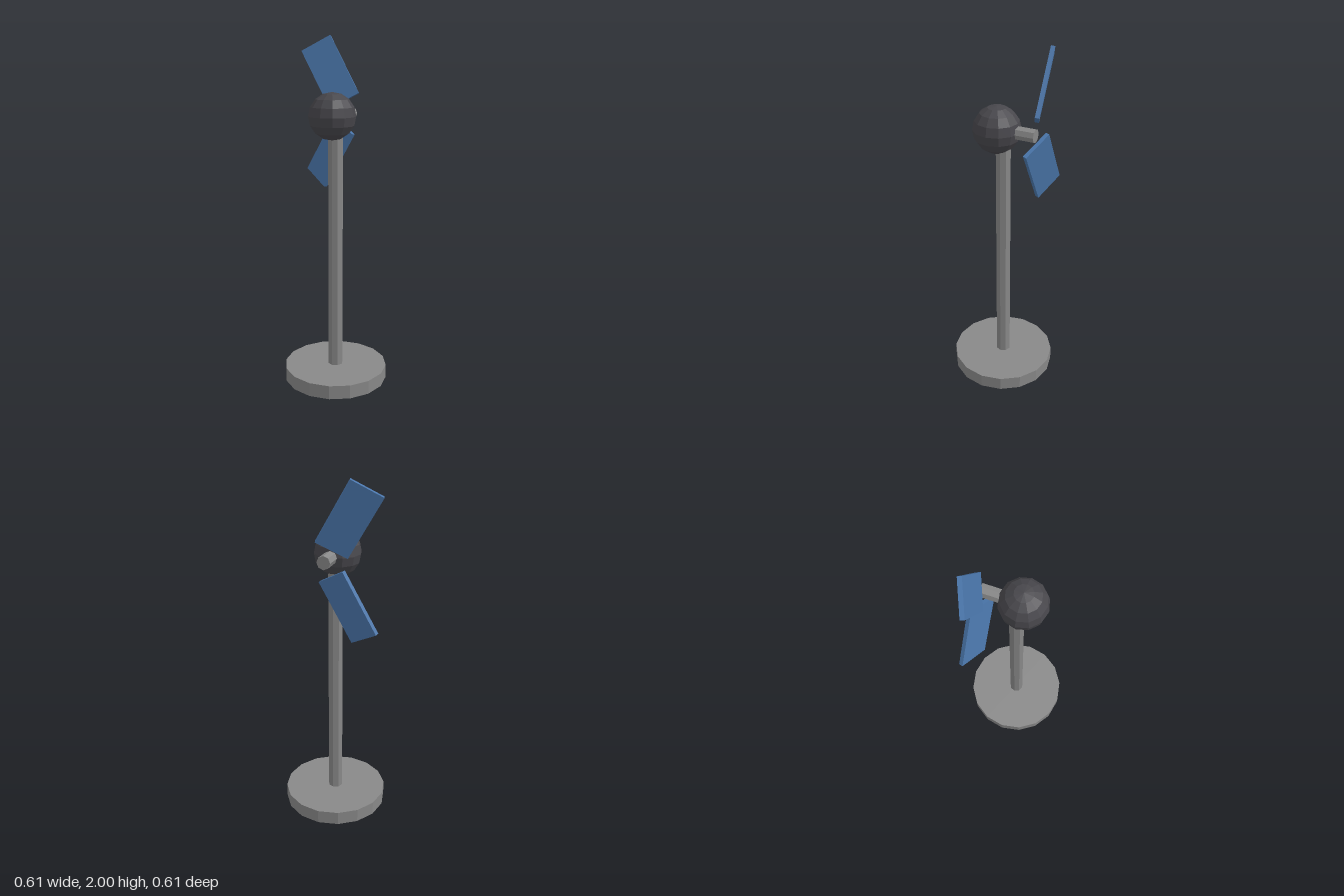
import * as THREE from 'three';

export function createModel() {
  const material = (name, color) => {
    const m = new THREE.MeshStandardMaterial({ color, flatShading: true });
    m.name = name;
    return m;
  };
  const grey = material('metal grey', 0x888888);
  const dark = material('charcoal', 0x48474c);
  const blue = material('blade blue', 0x4a76ab);

  const model = new THREE.Group();
  model.name = 'windTurbine';
  const add = (name, geometry, mat, x, y, z, parent = model) => {
    const mesh = new THREE.Mesh(geometry, mat);
    mesh.name = name;
    mesh.position.set(x, y, z);
    parent.add(mesh);
    return mesh;
  };

  const hubY = 1.56;

  // Stand
  add('base', new THREE.CylinderGeometry(0.303, 0.303, 0.08, 16), grey, 0, 0.04, 0);
  add('pole', new THREE.CylinderGeometry(0.043, 0.043, 1.45, 8), grey, 0, 0.805, 0);

  // Round housing with a shaft pointing backwards
  add('housing', new THREE.SphereGeometry(0.132, 12, 8), dark, 0, hubY, 0.038);
  const shaft = add('shaft', new THREE.CylinderGeometry(0.038, 0.038, 0.187, 8), grey, 0, hubY, -0.0935);
  shaft.rotation.x = Math.PI / 2;

  // Two pitched blades, a third of a turn apart
  const bladeGeometry = new THREE.BoxGeometry(0.19, 0.372, 0.023);
  [['upperBlade', 30], ['lowerBlade', 150]].forEach(([name, degrees]) => {
    const arm = new THREE.Group();
    arm.name = name + 'Arm';
    arm.position.set(0, hubY, -0.174);
    arm.rotation.z = THREE.MathUtils.degToRad(degrees);
    model.add(arm);
    const blade = add(name, bladeGeometry, blue, 0, 0.267, 0, arm);
    blade.rotation.y = THREE.MathUtils.degToRad(20);
  });

  return model;
}
